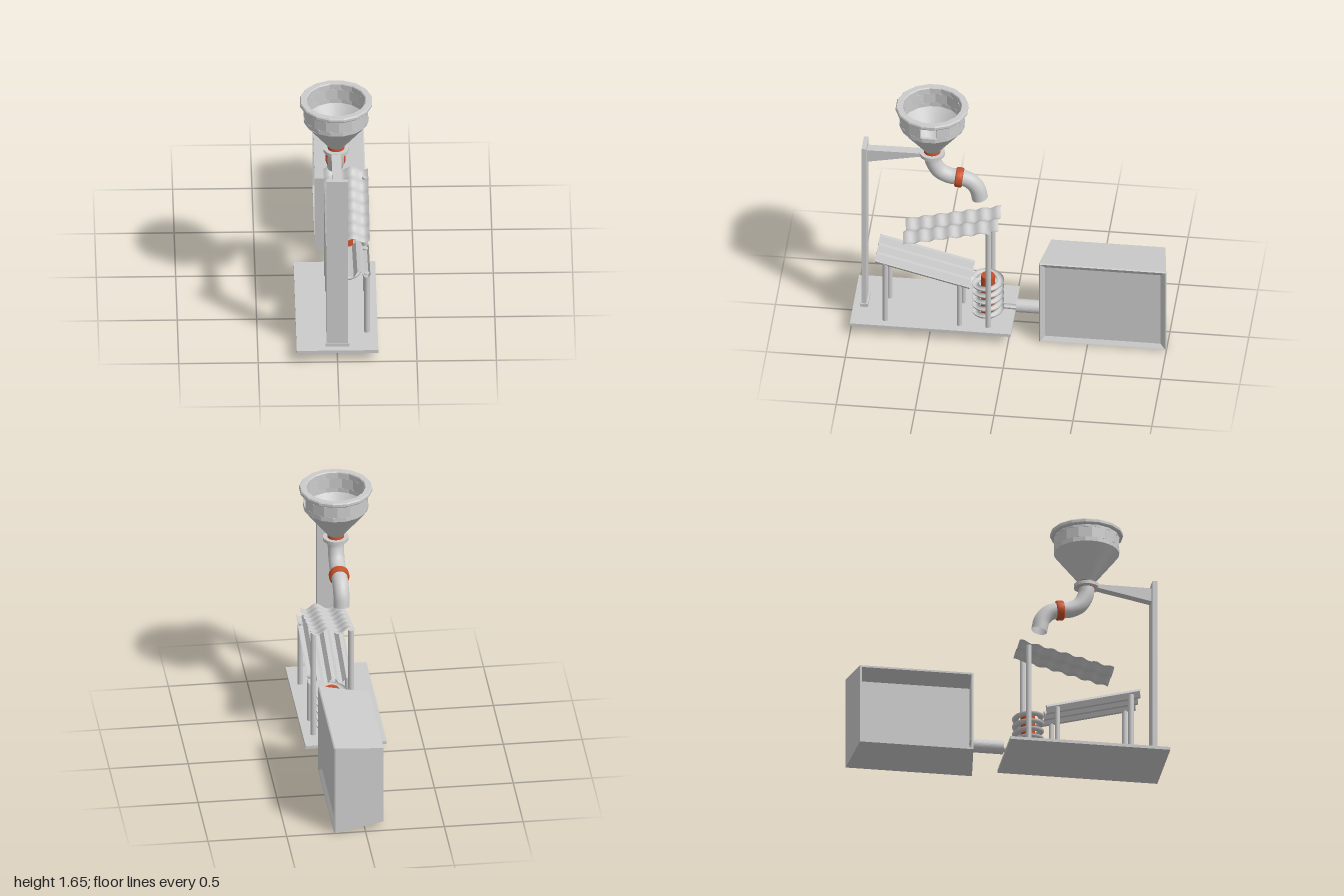
import * as THREE from 'three';
import { ParametricGeometry } from 'three/addons/geometries/ParametricGeometry.js';

const grey = new THREE.MeshStandardMaterial({ color: 0xcccccc });
const flat = new THREE.MeshStandardMaterial({ color: 0xcccccc, flatShading: true });
const thin = new THREE.MeshStandardMaterial({ color: 0xcccccc, side: THREE.DoubleSide });
const thinFlat = new THREE.MeshStandardMaterial({ color: 0xcccccc, side: THREE.DoubleSide, flatShading: true });
const orange = new THREE.MeshStandardMaterial({ color: 0xc8502a });

export function createModel() {
  const model = new THREE.Group();
  const add = (name, geometry, material, x = 0, y = 0, z = 0, parent = model) => {
    const m = new THREE.Mesh(geometry, material);
    m.name = name;
    m.position.set(x, y, z);
    parent.add(m);
    return m;
  };
  // box from min and max corners
  const block = (name, a, b) => add(name,
    new THREE.BoxGeometry(b[0] - a[0], b[1] - a[1], b[2] - a[2]), grey,
    (a[0] + b[0]) / 2, (a[1] + b[1]) / 2, (a[2] + b[2]) / 2);
  const rod = (name, r, x, z, y0, y1, mat = grey) =>
    add(name, new THREE.CylinderGeometry(r, r, y1 - y0, 24), mat, x, (y0 + y1) / 2, z);
  const lathe = (pts, seg, start = 0, len = Math.PI * 2) =>
    new THREE.LatheGeometry(pts.map(p => new THREE.Vector2(p[0], p[1])), seg, start, len);

  // base and tower
  block('basePlate', [-0.257, 0.07, -0.02], [0.257, 0.09, 1]);
  block('tower', [-0.068, 0.09, 0.917], [0.068, 1.325, 0.947]);
  block('towerFoot', [-0.075, 0.09, 0.905], [0.075, 0.113, 0.955]);

  // tapered arm, drawn in (z, y) and turned so its width runs along x
  const armShape = new THREE.Shape([[0.917, 1.2], [0.917, 1.29], [0.57, 1.293], [0.57, 1.27]]
    .map(p => new THREE.Vector2(-p[0], p[1])));
  const armGeo = new THREE.ExtrudeGeometry(armShape, { depth: 0.06, bevelEnabled: false });
  armGeo.rotateY(Math.PI / 2);
  add('arm', armGeo, grey, -0.03);

  // hopper: rim, windowed wall and funnel
  const hz = 0.507, seg = 16, off = Math.PI / 16;
  const hopper = new THREE.Group();
  hopper.name = 'hopper';
  hopper.position.z = hz;
  model.add(hopper);
  const band = (r0, r1, y0, y1) => [[r1, y0], [r1, y1], [r0, y1], [r0, y0], [r1, y0]];
  add('rim', lathe([[0.185, 1.625], [0.225, 1.625], [0.231, 1.632], [0.231, 1.648], [0.225, 1.656],
    [0.19, 1.656], [0.185, 1.65], [0.185, 1.625]], seg, off), flat, 0, 0, 0, hopper);
  add('wallLower', lathe(band(0.188, 0.206, 1.51, 1.54), seg, off), flat, 0, 0, 0, hopper);
  add('wallUpper', lathe(band(0.188, 0.206, 1.61, 1.63), seg, off), flat, 0, 0, 0, hopper);
  const gap = 0.262;
  add('wallWithWindow', lathe(band(0.188, 0.206, 1.54, 1.61), 14, Math.PI / 2 + gap, 2 * (Math.PI - gap)),
    thinFlat, 0, 0, 0, hopper);
  for (const s of [-1, 1]) { // window jambs
    const jamb = add('windowJamb', new THREE.PlaneGeometry(0.018, 0.07), thin,
      0.197 * Math.cos(gap), 1.575, s * 0.197 * Math.sin(gap), hopper);
    jamb.rotation.y = -s * gap;
  }
  add('funnel', lathe([[0.053, 1.315], [0.206, 1.51]], 32), thin, 0, 0, 0, hopper);
  add('funnelLining', lathe([[0.188, 1.51], [0.045, 1.325]], 32), thin, 0, 0, 0, hopper);
  add('funnelCollar', lathe(band(0.043, 0.053, 1.27, 1.322), 32), orange, 0, 0, 0, hopper);
  add('holderRing', lathe(band(0.05, 0.08, 1.273, 1.295), 32), flat, 0, 0, 0, hopper);

  // S-shaped spout
  const spoutPath = new THREE.CatmullRomCurve3([[0.507, 1.28], [0.5, 1.22], [0.46, 1.15], [0.395, 1.115],
    [0.335, 1.108], [0.268, 1.085], [0.222, 1.03], [0.204, 0.955]].map(p => new THREE.Vector3(0, p[1], p[0])));
  add('spout', new THREE.TubeGeometry(spoutPath, 48, 0.051, 24, false), thin);
  const joint = add('spoutJoint', lathe([[0.05, -0.024], [0.058, -0.024], [0.064, -0.016], [0.064, 0.016],
    [0.058, 0.024], [0.05, 0.024]], 32), orange, 0, 1.106, 0.335);
  joint.rotation.x = Math.PI / 2 - 0.1;

  // corrugated sheet running between two (z, y) ends
  const x0 = -0.07, x1 = 0.21;
  const sheet = (name, a, b, wave, ripple, nx, nl, mat) => {
    const dz = b[0] - a[0], dy = b[1] - a[1], len = Math.hypot(dz, dy);
    const nz = dy / len, ny = -dz / len;
    add(name, new ParametricGeometry((u, v, t) => {
      const h = wave(u) + ripple(v);
      t.set(x0 + (x1 - x0) * u, a[1] + dy * v + ny * h, a[0] + dz * v + nz * h);
    }, nx, nl), mat);
  };
  sheet('upperSheet', [0.675, 0.702], [0.072, 0.852],
    u => 0.017 * Math.sin(u * 4 * Math.PI), v => 0.006 * Math.sin(v * 13 * Math.PI), 40, 60, thin);
  const trapezoid = u => {
    const p = (u * 3) % 1;
    const tri = p < 0.25 ? 4 * p : p < 0.75 ? 2 - 4 * p : 4 * p - 4;
    return 0.018 * THREE.MathUtils.clamp(2 * tri, -1, 1);
  };
  sheet('lowerSheet', [0.845, 0.556], [0.245, 0.398], trapezoid, () => 0, 24, 1, thinFlat);

  // support posts, in pairs
  for (const x of [-0.05, 0.19]) {
    rod('upperSheetPost', 0.018, x, 0.13, 0.09, 0.825);
    rod('lowerSheetFrontPost', 0.018, x, 0.782, 0.09, 0.53);
    rod('lowerSheetBackPost', 0.016, x, 0.313, 0.09, 0.41);
  }

  // spiral channel around a core, ending in a straight run to the outlet pipe
  const cx = 0.07, cz = 0.145, R = 0.08, r = 0.021, turns = 5.25;
  rod('spiralCore', 0.043, cx, cz, 0.09, 0.405, orange);
  add('spiralChannel', new ParametricGeometry((u, v, t) => {
    const a = Math.PI - 2 * Math.PI * turns * (1 - u);
    const side = r * Math.cos(Math.PI * v), drop = r * Math.sin(Math.PI * v);
    t.set(cx + (R + side) * Math.cos(a), 0.395 - 0.275 * u - drop, cz + (R + side) * Math.sin(a));
  }, 200, 10), thin);
  add('channelRun', new ParametricGeometry((u, v, t) => {
    t.set(cx - R - r * Math.cos(Math.PI * v), 0.12 - 0.008 * u - r * Math.sin(Math.PI * v), cz - 0.21 * u);
  }, 4, 10), thin);
  const pipe = add('outletPipe', lathe(band(0.034, 0.043, -0.105, 0.105), 32), flat, -0.01, 0.122, -0.133);
  pipe.rotation.x = Math.PI / 2;

  // tapered bin: open on one side, recessed panel on the other; rings of [x, inset]
  const rings = [[0.165, 0.02], [-0.12, 0.054], [-0.12, 0.042], [0.192, 0.001], [0.2, 0.006],
    [0.197, 0.012], [0.18, 0.038]];
  const pos = [], idx = [];
  for (const [x, i] of rings) {
    const y0 = 0.003 + i, y1 = 0.617 - i, z0 = -1 + i, z1 = -0.192 - i;
    pos.push(x, y0, z0, x, y1, z0, x, y1, z1, x, y0, z1);
  }
  for (let k = 0; k < rings.length - 1; k++) {
    for (let j = 0; j < 4; j++) {
      const a = k * 4 + j, b = k * 4 + (j + 1) % 4;
      idx.push(a, a + 4, b, b, a + 4, b + 4);
    }
  }
  const e = (rings.length - 1) * 4;
  idx.push(0, 2, 1, 0, 3, 2, e, e + 1, e + 2, e, e + 2, e + 3);
  const binGeo = new THREE.BufferGeometry();
  binGeo.setAttribute('position', new THREE.Float32BufferAttribute(pos, 3));
  binGeo.setIndex(idx);
  binGeo.computeVertexNormals();
  add('collectionBin', binGeo, thinFlat);

  return model;
}
